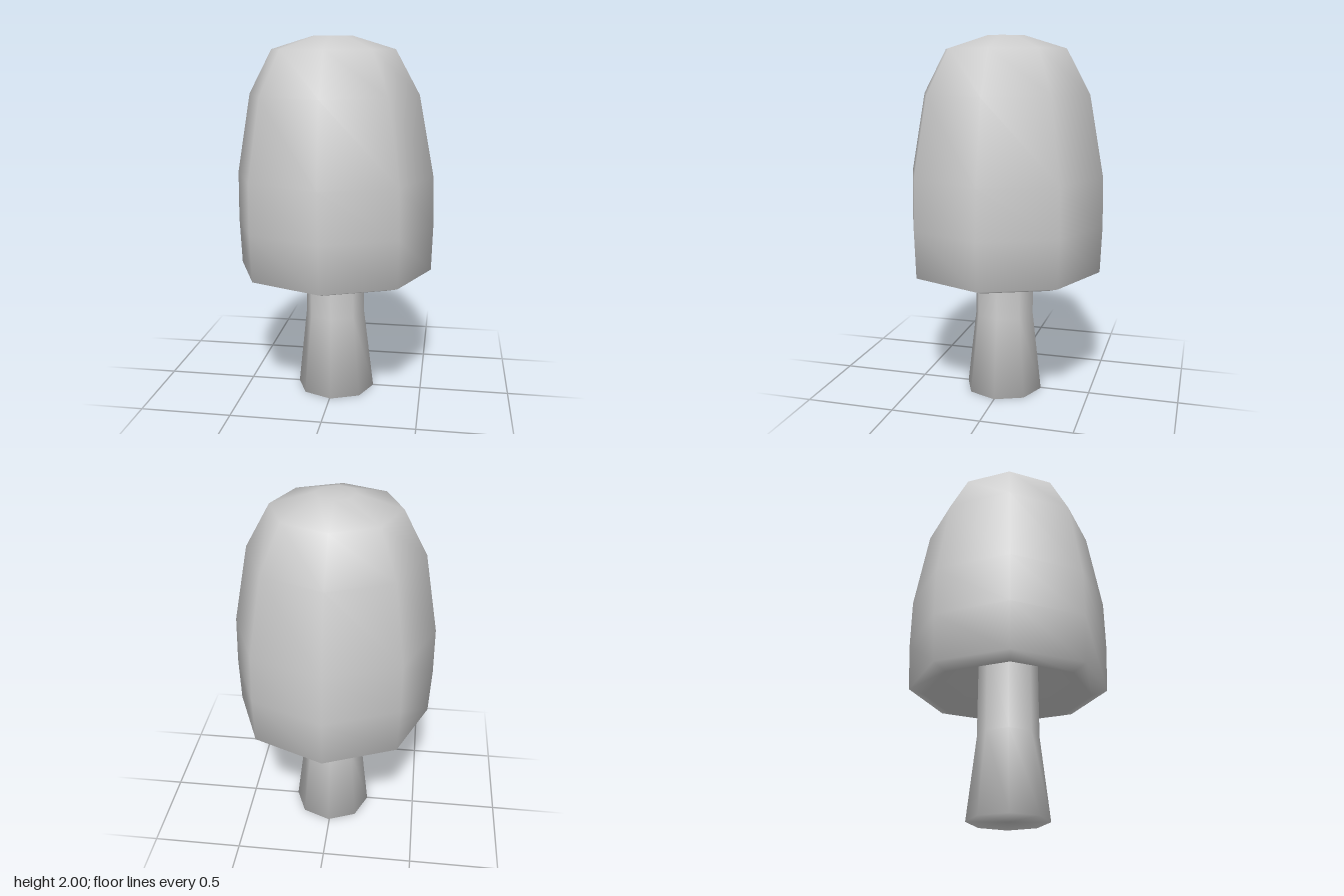
import * as THREE from 'three';

const SIDES = 8;

// Eight-sided smooth turned part, leaning very slightly towards -x as it rises
function turned(name, profile, material) {
  const points = profile.map(([r, y]) => new THREE.Vector2(r, y));
  const geometry = new THREE.LatheGeometry(points, SIDES);
  const pos = geometry.attributes.position;
  for (let i = 0; i < pos.count; i++) {
    pos.setX(i, pos.getX(i) + 0.005 - 0.01 * pos.getY(i));
  }
  const mesh = new THREE.Mesh(geometry, material);
  mesh.name = name;
  return mesh;
}

export function createModel() {
  const group = new THREE.Group();
  group.name = 'mushroom';
  const material = new THREE.MeshStandardMaterial({ color: 0xcccccc });

  // Stem: flared foot, closed underneath, running up inside the cap
  group.add(turned('stem', [
    [0, 0], [0.22, 0], [0.168, 0.45], [0.165, 0.92],
  ], material));

  // Cap: hollowed underside, narrow rim, tall rounded dome
  group.add(turned('cap', [
    [0.15, 0.9], [0.46, 0.69], [0.545, 0.72], [0.555, 0.98],
    [0.55, 1.25], [0.47, 1.69], [0.34, 1.93], [0.11, 2], [0, 2],
  ], material));

  return group;
}
